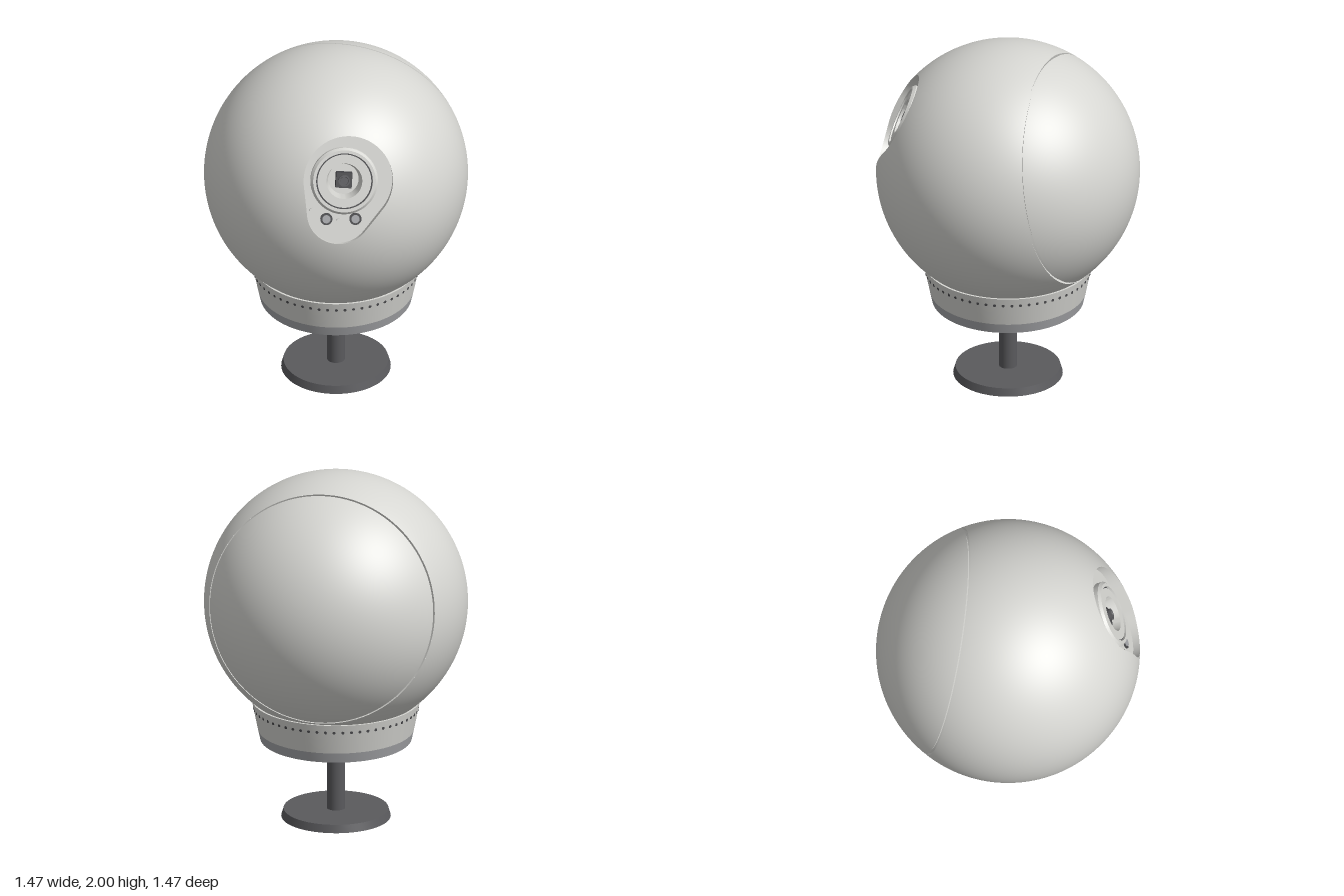
import * as THREE from 'three';
import { toCreasedNormals, mergeGeometries } from 'three/addons/utils/BufferGeometryUtils.js';

const R = 0.735, CENTRE_Y = 1.265, FLOOR = 0.63;

const material = (name, color) => {
  const m = new THREE.MeshStandardMaterial({ color });
  m.name = name;
  return m;
};

const part = (parent, name, geometry, mat) => {
  const mesh = new THREE.Mesh(geometry, mat);
  mesh.name = name;
  parent.add(mesh);
  return mesh;
};

// Crisp-edged solid of revolution about y
const turned = (points, segments = 96) => toCreasedNormals(
  new THREE.LatheGeometry(points.map(p => new THREE.Vector2(...p)), segments), 0.35);

// Surface from a rule f(u, v) -> Vector3, with u and v from 0 to 1
function grid(f, nu, nv) {
  const pos = [], index = [];
  for (let i = 0; i <= nu; i++)
    for (let j = 0; j <= nv; j++) pos.push(...f(i / nu, j / nv).toArray());
  for (let i = 0; i < nu; i++)
    for (let j = 0; j < nv; j++) {
      const a = i * (nv + 1) + j, b = a + nv + 1;
      index.push(a, b, b + 1, a, b + 1, a + 1);
    }
  const g = new THREE.BufferGeometry();
  g.setAttribute('position', new THREE.Float32BufferAttribute(pos, 3));
  g.setIndex(index);
  g.computeVertexNormals();
  return g;
}

// Teardrop outline of the eye pocket: the hull of a large and a small circle
function pocketRadius(phi) {
  let best = 0;
  for (let i = 0; i <= 24; i++) {
    const t = i / 24;
    const cx = 0.02 - 0.04 * t, cy = 0.06 - 0.18 * t, r = 0.25 - 0.07 * t;
    const d = cx * Math.cos(phi) + cy * Math.sin(phi);
    best = Math.max(best, d + Math.sqrt(r * r - cx * cx - cy * cy + d * d));
  }
  return best;
}

export function createModel() {
  const model = new THREE.Group();
  model.name = 'ballCameraOnStand';
  const shellMat = material('pale grey shell', 0xd6d6d2);
  const bandMat = material('mid grey band', 0xa5a6a9);
  const standMat = material('dark grey stand', 0x5a5a5d);
  const darkMat = material('charcoal details', 0x48484b);

  // Stand and collar
  part(model, 'foot', turned([[0, 0], [0.305, 0], [0.292, 0.045], [0, 0.045]]), standMat);
  const stem = part(model, 'stem', new THREE.CylinderGeometry(0.05, 0.05, 0.44, 40), standMat);
  stem.position.y = 0.25;
  part(model, 'collarBand', turned([[0, 0.457], [0.422, 0.457], [0.435, 0.515]]), bandMat);
  part(model, 'collar', turned([[0.435, 0.515], [0.47, 0.69], [0.445, 0.69]]), shellMat);

  // Row of small holes round the collar
  const holes = [];
  for (let i = 0; i < 60; i++) {
    const g = new THREE.CylinderGeometry(0.0085, 0.0085, 0.008, 10);
    g.rotateX(Math.PI / 2).translate(0, 0.645, 0.459).rotateY(i / 60 * Math.PI * 2);
    holes.push(g);
  }
  part(model, 'collarHoles', mergeGeometries(holes), darkMat);

  // Head frame: z looks out of the eye, y is the eye's own up
  const look = new THREE.Vector3(-0.57, 0.385, 0.725).normalize();
  const up = new THREE.Vector3(0.31, 0.92, -0.25);
  up.addScaledVector(look, -up.dot(look)).normalize();
  const right = new THREE.Vector3().crossVectors(up, look);
  const head = new THREE.Group();
  head.name = 'head';
  head.quaternion.setFromRotationMatrix(new THREE.Matrix4().makeBasis(right, up, look));
  head.position.y = CENTRE_Y;
  model.add(head);

  // Seam circle, as an axis in the head frame and an angle from it
  const axis = new THREE.Vector3(0.285, 0.07, -0.21).normalize()
    .applyQuaternion(head.quaternion.clone().invert());
  const alpha = Math.acos(0.361 / R), gap = 0.009;

  // Main shell, running from the pocket rim to the seam
  const shell = grid((u, v) => {
    const phi = v * Math.PI * 2;
    const start = Math.asin(pocketRadius(phi) / R);
    const B = axis.x * Math.cos(phi) + axis.y * Math.sin(phi);
    let phase = Math.atan2(B, axis.z);
    if (phase < 0) phase += Math.PI * 2;
    const end = phase - Math.acos(Math.cos(alpha + gap) / Math.hypot(axis.z, B));
    const theta = start + (end - start) * u;
    return new THREE.Vector3().setFromCylindricalCoords(1, 0, 0).set(
      Math.sin(theta) * Math.cos(phi), Math.sin(theta) * Math.sin(phi), Math.cos(theta))
      .multiplyScalar(R);
  }, 72, 160);
  const p = shell.attributes.position, n = new THREE.Vector3();
  for (let i = 0; i < p.count; i++) {
    n.fromBufferAttribute(p, i).normalize();
    shell.attributes.normal.setXYZ(i, n.x, n.y, n.z);
  }
  part(head, 'mainShell', shell, shellMat);

  // Rear cap and the groove between it and the main shell
  const rear = new THREE.Group();
  rear.name = 'rearCap';
  rear.quaternion.setFromUnitVectors(new THREE.Vector3(0, 1, 0), axis);
  head.add(rear);
  part(rear, 'cap', new THREE.SphereGeometry(R, 120, 48, 0, Math.PI * 2, 0, alpha - gap), shellMat);
  const polar = (r, a) => [r * Math.sin(a), r * Math.cos(a)];
  part(rear, 'seamGroove', turned([
    polar(R, alpha + gap), polar(R - 0.018, alpha + gap),
    polar(R - 0.018, alpha - gap), polar(R, alpha - gap)], 120), shellMat);

  // Eye pocket: wall and flat floor with a round opening
  part(head, 'pocketWall', grid((u, v) => {
    const phi = v * Math.PI * 2, r = pocketRadius(phi);
    const rim = Math.sqrt(R * R - r * r);
    return new THREE.Vector3(r * Math.cos(phi), r * Math.sin(phi), FLOOR + (rim - FLOOR) * u);
  }, 2, 160), shellMat);
  const outline = [];
  for (let i = 0; i < 160; i++) {
    const phi = i / 160 * Math.PI * 2, r = pocketRadius(phi);
    outline.push(new THREE.Vector2(r * Math.cos(phi), r * Math.sin(phi)));
  }
  const floorShape = new THREE.Shape(outline);
  floorShape.holes.push(new THREE.Path().absarc(0, 0.055, 0.12, 0, Math.PI * 2, true));
  part(head, 'pocketFloor', new THREE.ShapeGeometry(floorShape, 32), shellMat).position.z = FLOOR;

  // Lens assembly
  const lens = new THREE.Group();
  lens.name = 'lens';
  lens.position.set(0, 0.055, FLOOR);
  head.add(lens);
  const facing = (points, seg) => turned(points, seg).rotateX(Math.PI / 2);
  part(lens, 'lensRing', facing([[0.188, 0], [0.188, 0.03], [0.175, 0.045], [0.158, 0.045],
    [0.158, 0.03], [0.15, 0.03], [0.15, 0.038], [0.1, 0.038], [0.085, -0.05], [0, -0.05]], 64), shellMat);
  part(lens, 'lensGroove', new THREE.RingGeometry(0.15, 0.158, 64), darkMat).position.z = 0.032;
  part(lens, 'cameraBlock', new THREE.BoxGeometry(0.09, 0.085, 0.06), darkMat).position.z = -0.02;
  part(lens, 'cameraLens', facing([[0.032, 0], [0.032, 0.02], [0.024, 0.02], [0.022, 0.014], [0, 0.014]], 24),
    standMat).position.z = 0.01;

  // Sensors in an arc under the lens: plain studs and larger dark-ringed ones
  [[-0.164, -0.129, 0], [-0.085, -0.168, 1], [-0.011, -0.179, 0], [0.077, -0.159, 1]].forEach(([x, y, big]) => {
    const sensor = new THREE.Group();
    sensor.name = big ? 'ringedSensor' : 'sensorStud';
    sensor.position.set(x, y, FLOOR);
    head.add(sensor);
    if (big) part(sensor, 'sensorRing', facing([[0.034, 0], [0.034, 0.008], [0, 0.008]], 24), darkMat);
    const r = big ? 0.023 : 0.02;
    part(sensor, 'sensorFace', facing([[r, 0], [r, 0.014], [0, 0.014]], 24), big ? bandMat : shellMat);
  });
  return model;
}
